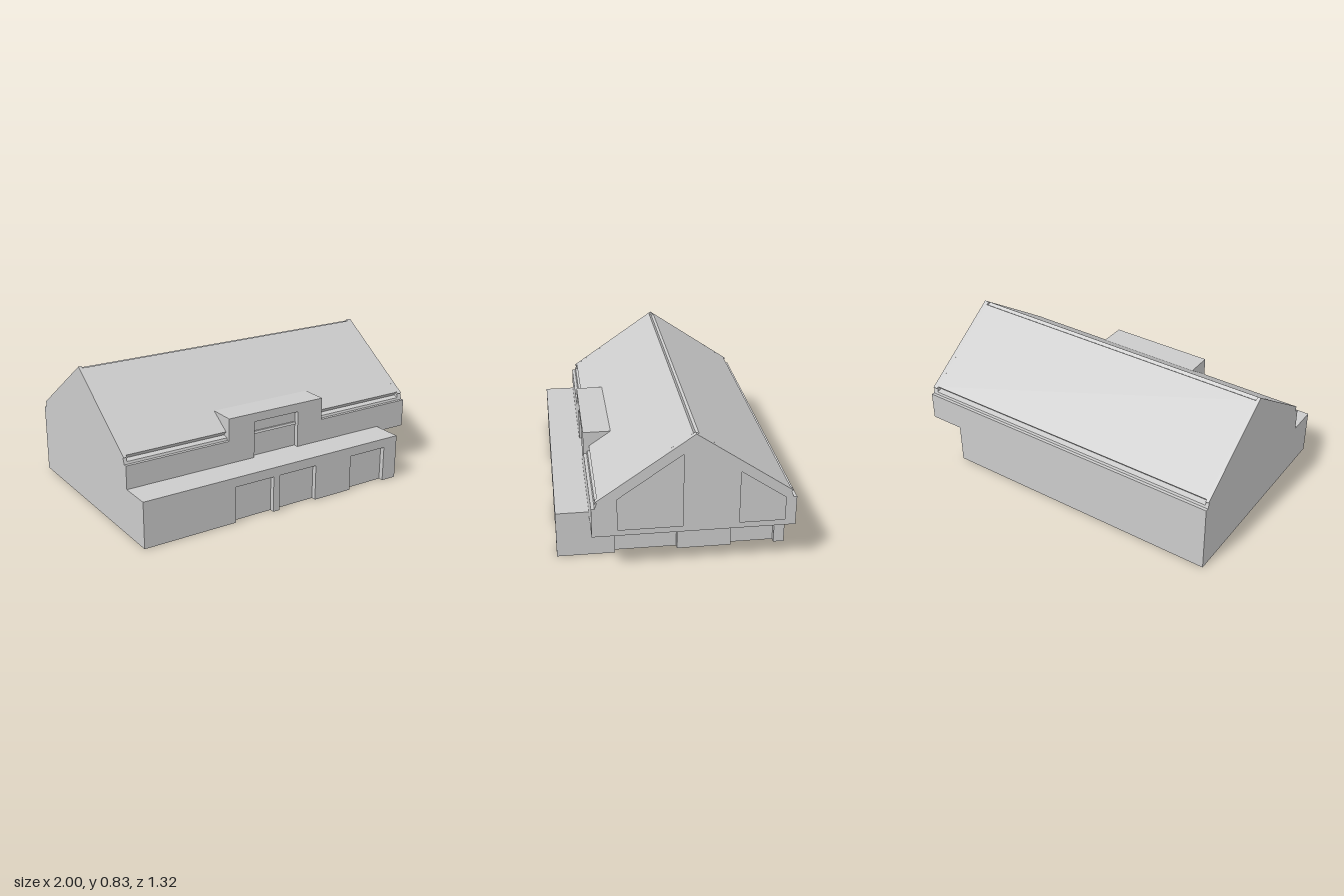
import * as THREE from 'three';

const grey = new THREE.MeshStandardMaterial({ color: 0xcccccc, flatShading: true });
const RIDGE_Z = -0.095, FRONT = 0.472, BACK = -0.662;

export function createModel() {
  const house = new THREE.Group();
  house.name = 'house';

  const add = (name, geometry) => {
    const mesh = new THREE.Mesh(geometry, grey);
    mesh.name = name;
    house.add(mesh);
  };
  // Box given by its limits on each axis
  const box = (name, x0, x1, y0, y1, z0, z1) => {
    const g = new THREE.BoxGeometry(x1 - x0, y1 - y0, z1 - z0);
    g.translate((x0 + x1) / 2, (y0 + y1) / 2, (z0 + z1) / 2);
    add(name, g);
  };
  const plate = (points, holes, depth) => {
    const toVectors = (list) => list.map(([a, b]) => new THREE.Vector2(a, b));
    const shape = new THREE.Shape(toVectors(points));
    holes.forEach((h) => shape.holes.push(new THREE.Path(toVectors(h))));
    return new THREE.ExtrudeGeometry(shape, { depth, bevelEnabled: false });
  };
  // Plate in (x, y), extruded along z
  const alongZ = (name, points, holes, z0, z1) =>
    add(name, plate(points, holes, z1 - z0).translate(0, 0, z0));
  // Plate in (z, y), extruded along x
  const alongX = (name, points, holes, x0, x1) => {
    const flip = (list) => list.map(([z, y]) => [-z, y]);
    const g = plate(flip(points), holes.map(flip), x1 - x0);
    add(name, g.rotateY(Math.PI / 2).translate(x0, 0, 0));
  };
  // Wall outline with door openings cut up from the ground
  const wallWithDoors = (a, b, height, doors) => [
    [a, 0],
    ...doors.flatMap(([l, r]) => [[l, 0], [l, 0.222], [r, 0.222], [r, 0]]),
    [b, 0], [b, height], [a, height],
  ];

  // Ground floor: hollow, open at the bottom
  alongZ('groundFrontWall',
    wallWithDoors(-1, 0.785, 0.28, [[-0.41, -0.15], [-0.105, 0.155], [0.42, 0.685]]),
    [], 0.632, 0.662);
  alongX('groundRightWall',
    wallWithDoors(BACK, 0.632, 0.245, [[-0.6, -0.345], [-0.03, 0.33]]),
    [], 0.755, 0.785);
  box('groundFrontPanes', -0.96, 0.745, 0, 0.245, 0.622, 0.632);
  box('groundRightPanes', 0.745, 0.755, 0, 0.245, -0.622, 0.632);
  box('groundBackWall', -1, 0.755, 0, 0.245, BACK, -0.622);
  box('groundSideWall', -1, -0.96, 0, 0.245, -0.622, 0.632);
  box('terraceSlab', -1, 0.785, 0.245, 0.28, FRONT, 0.632);

  // Upper floor profiles; the eave is mirrored about the ridge
  const mirrorZ = (list) => list.map(([z, y]) => [2 * RIDGE_Z - z, y]).reverse();
  const eaveEnd = [[0.453, 0.42], [0.44, 0.455], [0.45, 0.46]];
  const eaveMiddle = [[0.453, 0.42], [0.448, 0.434], [0.415, 0.442], [0.438, 0.468]];
  const profile = (eave, ridge) => [
    [BACK, 0.245], [0.442, 0.245], [0.442, 0.42],
    ...eave, ...ridge, ...mirrorZ(eave), [BACK, 0.42],
  ];
  const endProfile = profile(eaveEnd, [[RIDGE_Z, 0.835]]);
  const middleProfile = profile(eaveMiddle,
    [[-0.083, 0.827], [-0.1, 0.813], [-0.114, 0.822]]);

  // Roofed body with gutter slots and a ridge groove, closed by two gables
  alongX('upperBody', middleProfile, [], -0.98, 0.97);
  alongX('plainGable', endProfile, [], -1, -0.98);
  alongX('windowGable', endProfile, [
    [[0.33, 0.28], [0.33, 0.47], [-0.03, 0.72], [-0.03, 0.28]],
    [[-0.345, 0.28], [-0.345, 0.595], [-0.6, 0.42], [-0.6, 0.28]],
  ], 0.97, 1);

  // Upper front wall, rising into the dormer face with its window
  alongZ('upperFrontWall', [
    [-1, 0.245], [1, 0.245], [1, 0.42], [0.335, 0.42],
    [0.335, 0.558], [-0.335, 0.558], [-0.335, 0.42], [-1, 0.42],
  ], [[[-0.16, 0.28], [0.155, 0.28], [0.155, 0.505], [-0.16, 0.505]]], 0.442, FRONT);
  box('dormerBody', -0.335, 0.335, 0.4, 0.558, 0.25, 0.442);

  return house;
}
